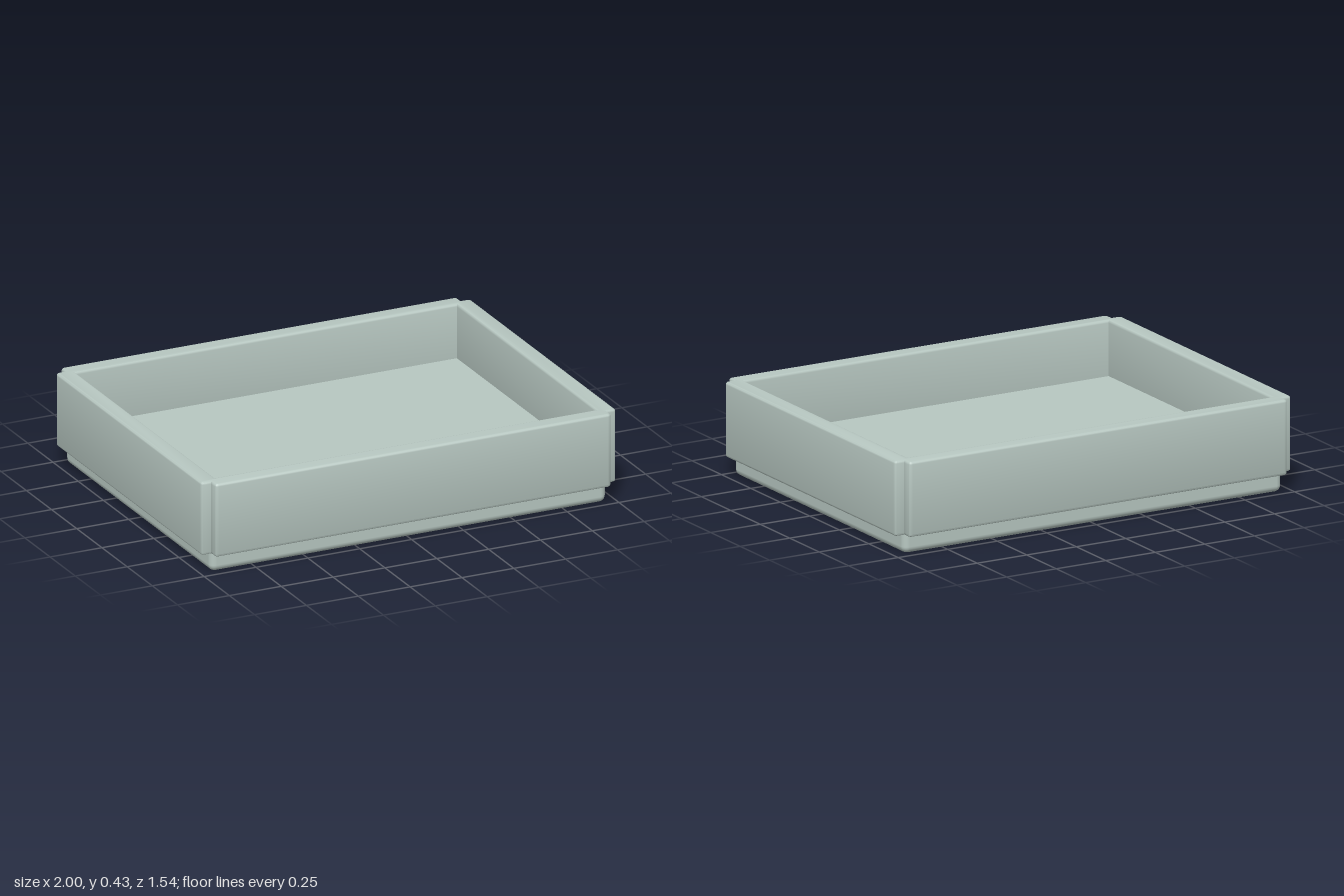
import * as THREE from 'three';
import { toCreasedNormals } from 'three/addons/utils/BufferGeometryUtils.js';
import { RoundedBoxGeometry } from 'three/addons/geometries/RoundedBoxGeometry.js';

// Half sizes: full width/depth, and the line where the corner notches begin
const OUT_X = 1, OUT_Z = 0.77, NOTCH_X = 0.955, NOTCH_Z = 0.725;
const IN_X = 0.918, IN_Z = 0.69;
const WALL_BOTTOM = 0.087, WALL_TOP = 0.427, FLOOR = 0.175;

// Rectangle with a step cut from each corner, convex corners rounded by r
function notchedOutline(r) {
  const corner = [
    [OUT_X, NOTCH_Z, true], [NOTCH_X, NOTCH_Z, false], [NOTCH_X, OUT_Z, true],
  ];
  const mirror = (sx, sy) => {
    const pts = corner.map(([x, y, round]) => [x * sx, y * sy, round]);
    return sx * sy > 0 ? pts : pts.reverse();
  };
  const pts = [...mirror(1, 1), ...mirror(-1, 1), ...mirror(-1, -1), ...mirror(1, -1)];
  const shape = new THREE.Shape();
  pts.forEach(([x, y, round], i) => {
    const p = new THREE.Vector2(x, y);
    const toward = (q) => new THREE.Vector2(q[0], q[1]).sub(p).setLength(round ? r : 0).add(p);
    const a = toward(pts[(i + pts.length - 1) % pts.length]);
    const b = toward(pts[(i + 1) % pts.length]);
    if (i === 0) shape.moveTo(a.x, a.y); else shape.lineTo(a.x, a.y);
    if (round) shape.quadraticCurveTo(x, y, b.x, b.y);
  });
  shape.closePath();
  return shape;
}

export function createModel() {
  const model = new THREE.Group();
  model.name = 'tray';
  const paint = new THREE.MeshStandardMaterial({ color: 0xb7c7c1 });
  paint.name = 'pale grey green';

  // Base slab: its top is the tray floor
  const base = new THREE.Mesh(
    new RoundedBoxGeometry(NOTCH_X * 2, FLOOR, NOTCH_Z * 2, 3, 0.03), paint);
  base.position.y = FLOOR / 2;
  base.name = 'base';

  // Wall frame with softened edges
  const bevel = 0.012;
  const outline = notchedOutline(0.018);
  const opening = new THREE.Path();
  opening.moveTo(-IN_X, -IN_Z);
  opening.lineTo(-IN_X, IN_Z);
  opening.lineTo(IN_X, IN_Z);
  opening.lineTo(IN_X, -IN_Z);
  opening.closePath();
  outline.holes.push(opening);
  const frame = new THREE.ExtrudeGeometry(outline, {
    depth: WALL_TOP - WALL_BOTTOM - bevel * 2, curveSegments: 4,
    bevelEnabled: true, bevelSize: bevel, bevelThickness: bevel,
    bevelOffset: -bevel, bevelSegments: 3,
  });
  frame.rotateX(-Math.PI / 2);
  const walls = new THREE.Mesh(toCreasedNormals(frame, 0.6), paint);
  walls.position.y = WALL_BOTTOM + bevel;
  walls.name = 'walls';

  model.add(base, walls);
  return model;
}
